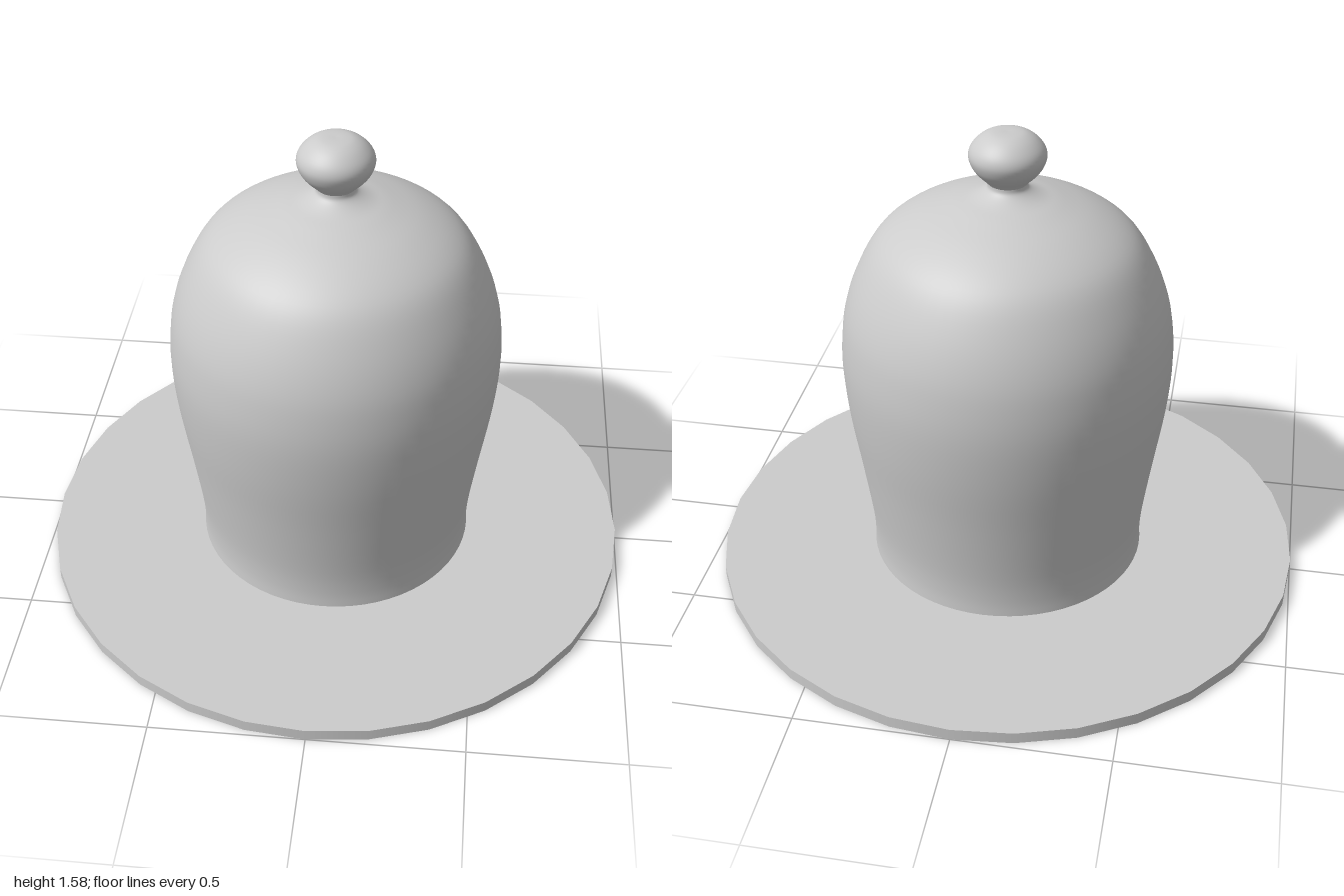
import * as THREE from 'three';

const material = new THREE.MeshStandardMaterial({ color: 0xcccccc, side: THREE.DoubleSide });

// Smooth surface of revolution through a few [radius, height] points
function turned(name, points, steps) {
  const curve = new THREE.SplineCurve(points.map(([r, y]) => new THREE.Vector2(r, y)));
  const profile = curve.getPoints(steps);
  profile.forEach((p) => { p.x = Math.max(p.x, 0); });
  const mesh = new THREE.Mesh(new THREE.LatheGeometry(profile, 64), material);
  mesh.name = name;
  return mesh;
}

export function createModel() {
  const group = new THREE.Group();
  group.name = 'domedCover';

  // Thin round base plate
  const plate = new THREE.Mesh(new THREE.CylinderGeometry(1, 1, 0.04, 32), material);
  plate.name = 'basePlate';
  plate.position.y = 0.02;
  group.add(plate);

  // Bell-shaped dome, flowing up into the neck
  group.add(turned('dome', [
    [0.47, 0.04], [0.468, 0.1], [0.475, 0.2], [0.503, 0.4], [0.533, 0.6],
    [0.547, 0.77], [0.541, 0.9], [0.522, 1.0], [0.485, 1.1], [0.432, 1.195],
    [0.37, 1.255], [0.28, 1.306], [0.18, 1.343], [0.12, 1.36], [0.085, 1.375],
    [0.066, 1.39], [0.063, 1.405],
  ], 64));

  // Flattened round knob
  group.add(turned('knob', [
    [0.063, 1.405], [0.075, 1.418], [0.095, 1.438], [0.113, 1.463], [0.123, 1.495],
    [0.115, 1.525], [0.09, 1.553], [0.06, 1.57], [0.03, 1.575], [0, 1.575],
  ], 36));

  return group;
}
